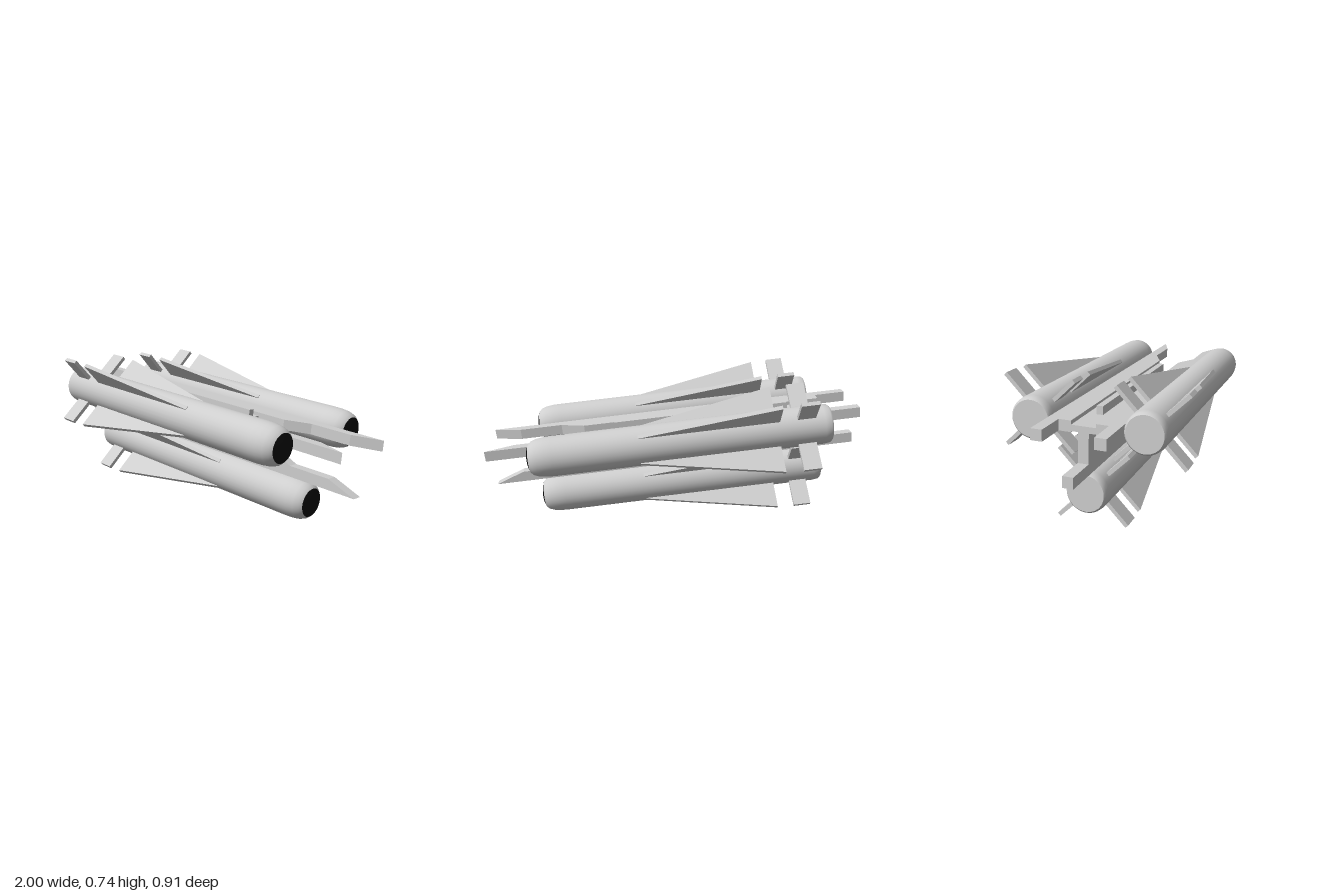
import * as THREE from 'three';

const grey = new THREE.MeshStandardMaterial({ color: 0xcfcfcf });
grey.name = 'light grey';
const black = new THREE.MeshStandardMaterial({ color: 0x0c0c0c });
black.name = 'black';

const TILT = -0.101; // whole assembly pitches nose down
const CENTRE = 0.49; // height of the launcher core axis

function add(parent, name, geometry, material = grey) {
  const mesh = new THREE.Mesh(geometry, material);
  mesh.name = name;
  parent.add(mesh);
  return mesh;
}

// flat outline in the x/y plane, given a centred thickness along z
function slab(points, thickness) {
  const shape = new THREE.Shape(points.map(p => new THREE.Vector2(...p)));
  const g = new THREE.ExtrudeGeometry(shape, { depth: thickness, bevelEnabled: false });
  return g.translate(0, 0, -thickness / 2);
}

// [radius, position along x], from tail to nose
function turned(profile) {
  const g = new THREE.LatheGeometry(profile.map(p => new THREE.Vector2(...p)), 32);
  return g.rotateZ(-Math.PI / 2);
}

function makeMissile() {
  const missile = new THREE.Group();
  missile.name = 'missile';
  add(missile, 'body', turned([
    [0.09, -0.84], [0.099, -0.83], [0.103, -0.8], [0.103, 0.58], [0.102, 0.62],
    [0.097, 0.66], [0.087, 0.688], [0.073, 0.703],
  ]));
  add(missile, 'tailCap', turned([[0, -0.84], [0.09, -0.84]]));
  add(missile, 'seekerNose', turned([[0.073, 0.703], [0.05, 0.712], [0.025, 0.717], [0, 0.719]]), black);

  const wing = slab([[-0.57, 0.085], [0.145, 0.085], [0.145, 0.105], [-0.57, 0.243]], 0.02);
  const fin = slab([[-0.752, 0.085], [-0.66, 0.085], [-0.66, 0.246], [-0.752, 0.246]], 0.02);
  for (let i = 0; i < 4; i++) {
    const angle = Math.PI / 4 + i * Math.PI / 2;
    add(missile, 'wing', wing).rotation.x = angle;
    add(missile, 'tailFin', fin).rotation.x = angle;
  }
  return missile;
}

// arm reaching out from the core, ending in a launch rail with a slanted tip
function makeArm(inner, outer, front, width) {
  const arm = new THREE.Group();
  arm.name = 'launchArm';
  add(arm, 'pylon', slab([[-0.87, inner], [front, inner], [0.57, outer], [-0.87, outer]], width));
  add(arm, 'rail', slab([
    [-1.035, outer], [0.8, outer], [0.95, outer + 0.055], [-1.035, outer + 0.055],
  ], width));
  return arm;
}

export function createModel() {
  const model = new THREE.Group();
  model.name = 'tripleMissileLauncher';
  const rig = new THREE.Group();
  rig.name = 'tiltedAssembly';
  rig.rotation.z = TILT;
  model.add(rig);

  // core block with a narrow mounting spine on top
  add(rig, 'core', new THREE.BoxGeometry(1.14, 0.03, 0.12)).position.set(-0.3, CENTRE - 0.005, 0);
  add(rig, 'mountingSpine', new THREE.BoxGeometry(0.95, 0.06, 0.032)).position.set(-0.205, 0.512, 0);

  // two side stations and one below
  for (const side of [-1, 1]) {
    const arm = makeArm(0.06, 0.12, 0.44, 0.054);
    arm.position.y = CENTRE + 0.002;
    arm.rotation.x = side * Math.PI / 2;
    rig.add(arm);
    const missile = makeMissile();
    missile.position.set(0, CENTRE, side * 0.275);
    rig.add(missile);
  }
  const lowerArm = makeArm(0.015, 0.166, 0.2, 0.052);
  lowerArm.position.y = CENTRE;
  lowerArm.rotation.x = Math.PI;
  rig.add(lowerArm);
  const lowerMissile = makeMissile();
  lowerMissile.position.y = 0.166;
  rig.add(lowerMissile);

  return model;
}
